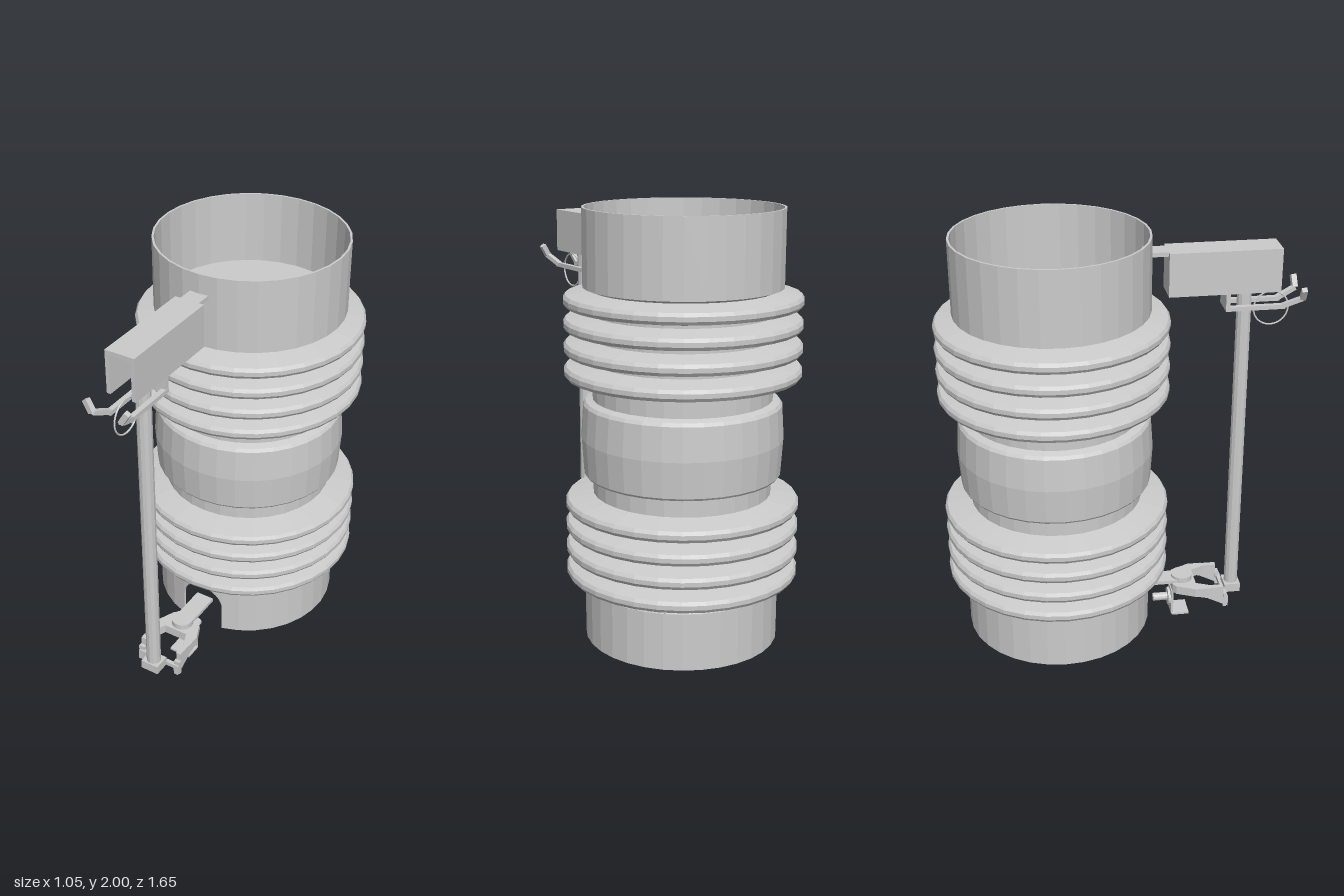
import * as THREE from 'three';

const CZ = -0.305; // axis of the tube body
const SIDES = 32;
const mat = new THREE.MeshStandardMaterial({ color: 0xcccccc, flatShading: true, side: THREE.DoubleSide });
const V = (x, y, z) => new THREE.Vector3(x, y, z);

function add(group, name, geometry, x = 0, y = 0, z = 0) {
  const m = new THREE.Mesh(geometry, mat);
  m.name = name;
  m.position.set(x, y, z);
  group.add(m);
  return m;
}

// Box given by its limits on each axis
function box(group, name, x0, x1, y0, y1, z0, z1) {
  return add(group, name, new THREE.BoxGeometry(x1 - x0, y1 - y0, z1 - z0),
    (x0 + x1) / 2, (y0 + y1) / 2, (z0 + z1) / 2);
}

// Square bar between two points
function bar(group, name, a, b, w, h) {
  const m = add(group, name, new THREE.BoxGeometry(w, h, a.distanceTo(b)));
  m.position.copy(a).lerp(b, 0.5);
  m.lookAt(b);
  return m;
}

// Side outline (z, y) extruded across x
function sidePlate(group, name, pts, x0, x1) {
  const shape = new THREE.Shape(pts.map(([z, y]) => new THREE.Vector2(-z, y)));
  const g = new THREE.ExtrudeGeometry(shape, { depth: x1 - x0, bevelEnabled: false });
  g.rotateY(Math.PI / 2);
  return add(group, name, g, x0, 0, 0);
}

// Upper collar, bellows, necks and barrel as one turned profile
function bodyGeometry() {
  const ridge = y => [[0.41, y - 0.045], [0.515, y - 0.025], [0.525, y - 0.01],
    [0.525, y + 0.01], [0.515, y + 0.025], [0.41, y + 0.045]];
  const profile = [
    [0, 0.31], [0.43, 0.31], [0.42, 0.325],
    ...[0.375, 0.48, 0.585, 0.688].flatMap(ridge),
    [0.4, 0.735], [0.4, 0.815], [0.435, 0.82], [0.442, 0.83], [0.452, 0.99],
    [0.442, 1.14], [0.432, 1.155], [0.4, 1.165], [0.4, 1.24],
    ...[1.29, 1.395, 1.5, 1.603].flatMap(ridge),
    [0.42, 1.655], [0.44, 1.66], [0.44, 2], [0.43, 2], [0.43, 1.66], [0, 1.66],
  ];
  return new THREE.LatheGeometry(profile.map(([r, y]) => new THREE.Vector2(r, y)), SIDES);
}

// Thick lower collar with an arched opening at the front
function collarGeometry() {
  const R = 0.44, r = 0.43, top = 0.31, base = 0.05, half = 0.11, spring = 0.18;
  const edge = Math.asin(half / R);
  const columns = [];
  for (let i = 0; i <= 16; i++) {
    const x = -half * Math.cos(Math.PI * i / 16);
    columns.push([Math.asin(x / R), spring + Math.sqrt(Math.max(0, half * half - x * x))]);
  }
  for (let i = 0; i <= 30; i++) columns.push([edge + (2 * Math.PI - 2 * edge) * i / 30, base]);
  const pos = [], idx = [];
  for (const [a, y] of columns) {
    for (const [rad, h] of [[R, top], [R, y], [r, y], [r, top]]) {
      pos.push(rad * Math.sin(a), h, rad * Math.cos(a));
    }
  }
  const n = columns.length;
  for (let i = 0; i < n; i++) {
    for (let k = 0; k < 4; k++) {
      const k2 = (k + 1) % 4, j = (i + 1) % n;
      const a = i * 4 + k, b = i * 4 + k2, c = j * 4 + k2, d = j * 4 + k;
      idx.push(a, b, c, a, c, d);
    }
  }
  const g = new THREE.BufferGeometry();
  g.setAttribute('position', new THREE.Float32BufferAttribute(pos, 3));
  g.setIndex(idx);
  g.computeVertexNormals();
  return g;
}

function upperBracket() {
  const g = new THREE.Group();
  g.name = 'upperBracket';
  // Inverted channel, open below and at the front
  box(g, 'channelTop', -0.07, 0.07, 1.89, 1.91, 0.205, 0.71);
  box(g, 'channelBack', -0.07, 0.07, 1.71, 1.91, 0.205, 0.215);
  box(g, 'mountingTab', -0.045, 0.045, 1.89, 1.91, 0.1, 0.21);
  // Hanger below the channel
  box(g, 'hangerBack', -0.06, 0.06, 1.625, 1.71, 0.465, 0.485);
  for (const s of [-1, 1]) {
    const side = s * 0.061;
    box(g, 'channelSide', side - 0.009, side + 0.009, 1.71, 1.9, 0.205, 0.71);
    box(g, 'hangerRail', s * 0.05 - 0.012, s * 0.05 + 0.012, 1.625, 1.645, 0.465, 0.735);
    const elbow = V(s * 0.07, 1.675, 0.81);
    bar(g, 'hookArm', V(s * 0.05, 1.635, 0.72), elbow, 0.025, 0.02);
    bar(g, 'hookTip', elbow, V(s * 0.1, 1.725, 0.808), 0.025, 0.025);
  }
  const ring = add(g, 'pullRing', new THREE.TorusGeometry(0.08, 0.004, 6, 28), 0, 1.61, 0.685);
  ring.rotation.y = Math.PI / 2;
  return g;
}

function lowerBracket() {
  const g = new THREE.Group();
  g.name = 'lowerBracket';
  box(g, 'supportArm', -0.045, 0.045, 0.182, 0.2, 0.1, 0.31);
  add(g, 'pivotCap', new THREE.CylinderGeometry(0.053, 0.053, 0.03, 16), 0, 0.198, 0.308);
  // Forked yoke in plan
  const plan = [[-0.055, 0.255], [0.055, 0.255], [0.075, 0.27], [0.115, 0.36], [0.115, 0.43],
    [0.085, 0.43], [0.06, 0.37], [-0.06, 0.37], [-0.085, 0.43], [-0.115, 0.43], [-0.115, 0.36], [-0.075, 0.27]];
  const yoke = new THREE.ExtrudeGeometry(
    new THREE.Shape(plan.map(([x, z]) => new THREE.Vector2(x, -z))), { depth: 0.045, bevelEnabled: false });
  yoke.rotateX(-Math.PI / 2);
  add(g, 'yoke', yoke, 0, 0.14, 0);
  // Prongs reaching to the rod
  for (const s of [-1, 1]) {
    const x = s * 0.1;
    sidePlate(g, 'yokeProng', [[0.36, 0.185], [0.5, 0.185], [0.5, 0.13], [0.525, 0.12],
      [0.525, 0.07], [0.42, 0.125], [0.36, 0.14]], x - 0.012, x + 0.012);
    box(g, 'prongEnd', x - 0.015, x + 0.015, 0.07, 0.145, 0.5, 0.517);
  }
  box(g, 'crossPin', -0.11, 0.11, 0.105, 0.125, 0.505, 0.525);
  box(g, 'rodClamp', -0.045, 0.045, 0.105, 0.15, 0.52, 0.6);
  // Hanging plate, foot and bolt
  box(g, 'hangingPlate', -0.05, 0.05, 0.005, 0.14, 0.25, 0.26);
  box(g, 'footPlate', -0.055, 0.055, 0, 0.01, 0.255, 0.34);
  const shaft = add(g, 'bolt', new THREE.CylinderGeometry(0.02, 0.02, 0.09, 12), 0, 0.08, 0.21);
  const head = add(g, 'boltHead', new THREE.CylinderGeometry(0.045, 0.045, 0.025, 16), 0, 0.08, 0.25);
  shaft.rotation.x = head.rotation.x = Math.PI / 2;
  return g;
}

export function createModel() {
  const model = new THREE.Group();
  model.name = 'bellowsTube';
  add(model, 'bellowsBody', bodyGeometry(), 0, 0, CZ);
  add(model, 'lowerCollar', collarGeometry(), 0, 0, CZ);

  // Bottom disc, showing only its underside
  const disc = add(model, 'bottomDisc', new THREE.CircleGeometry(0.325, SIDES), 0, 0.1, CZ);
  disc.rotation.x = Math.PI / 2;
  disc.material = mat.clone();
  disc.material.side = THREE.FrontSide;

  add(model, 'guideRod', new THREE.CylinderGeometry(0.034, 0.034, 1.69, 12), 0, 0.955, 0.56);
  model.add(upperBracket(), lowerBracket());
  return model;
}
